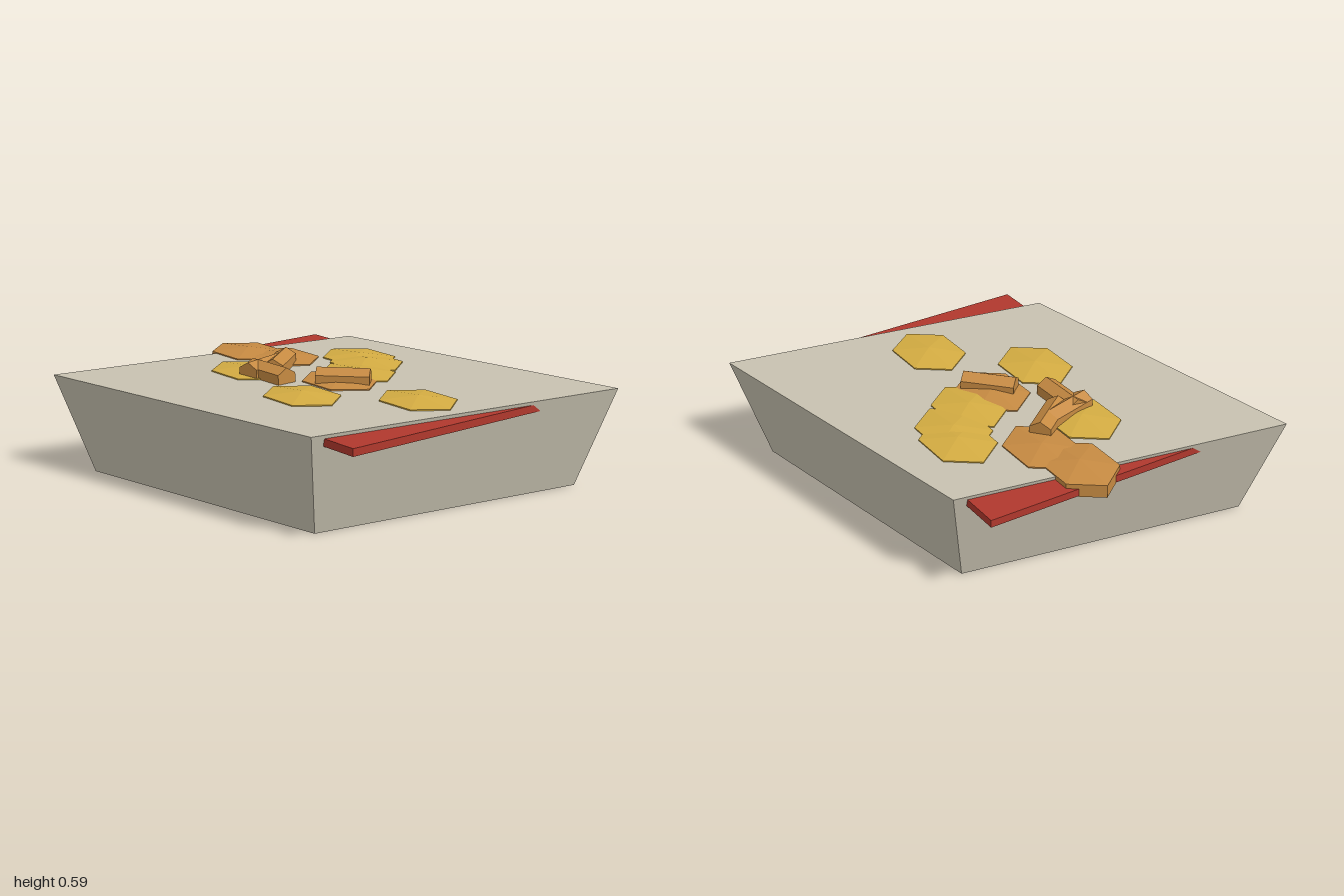
import * as THREE from 'three';

const material = (name, color) => {
  const m = new THREE.MeshStandardMaterial({ color, flatShading: true });
  m.name = name;
  return m;
};

export function createModel() {
  const stone = material('pale stone', 0xc8c2b0);
  const red = material('red', 0xb0382d);
  const gold = material('gold', 0xd4ac42);
  const brown = material('toasted brown', 0xc68a42);

  const model = new THREE.Group();
  const add = (name, geometry, mat, x = 0, y = 0, z = 0) => {
    const mesh = new THREE.Mesh(geometry, mat);
    mesh.name = name;
    mesh.position.set(x, y, z);
    model.add(mesh);
    return mesh;
  };

  // Tray: tapered four-sided block stretched into a lozenge
  const tray = new THREE.CylinderGeometry(1, 0.86, 0.505, 4);
  const p = tray.attributes.position;
  for (let i = 0; i < p.count; i++) {
    const u = p.getX(i), v = p.getZ(i);
    p.setXYZ(i, 0.7 * u - v, p.getY(i), 0.7 * u + v);
  }
  tray.computeVertexNormals();
  add('tray', tray, stone, 0, 0.2525, 0);

  // Red slab running through the tray
  add('redSlab', new THREE.BoxGeometry(1.816, 0.038, 1.26), red, 0, 0.468, 0);

  // Six-sided slices with a shallow peak
  const slice = new THREE.LatheGeometry([
    new THREE.Vector2(0, 0.445), new THREE.Vector2(0.226, 0.445),
    new THREE.Vector2(0.226, 0.511), new THREE.Vector2(0, 0.535),
  ], 6, Math.PI / 6);
  slice.scale(1, 1, 0.775);
  const goldSlices = [[-0.285, -0.42], [-0.18, -0.38], [-0.04, -0.205],
    [-0.43, 0.195], [0.13, 0.295], [0.545, -0.085]];
  const brownSlices = [[-0.76, -0.05], [-0.545, -0.115], [0.025, -0.03]];
  goldSlices.forEach(([x, z]) => add('goldSlice', slice, gold, x, 0, z));
  brownSlices.forEach(([x, z]) => add('brownSlice', slice, brown, x, 0, z));

  // Six-sided sticks lying flat side up along x
  const stick = new THREE.CylinderGeometry(0.063, 0.063, 0.27, 6);
  stick.rotateZ(Math.PI / 2);
  const top = stick.clone().rotateX(Math.PI / 6); // flat face on top
  const sticks = [ // x, z, direction x, direction z
    [0.065, -0.02, 0.73, -0.68],
    [-0.375, 0.04, 0.606, 0.795],
    [-0.352, 0.155, 0.26, 0.965],
    [-0.245, 0.203, 1, -0.02],
  ];
  for (const [x, z, dx, dz] of sticks) {
    add('stick', top, brown, x, 0.523, z).rotation.y = Math.atan2(-dz, dx);
  }
  return model;
}
